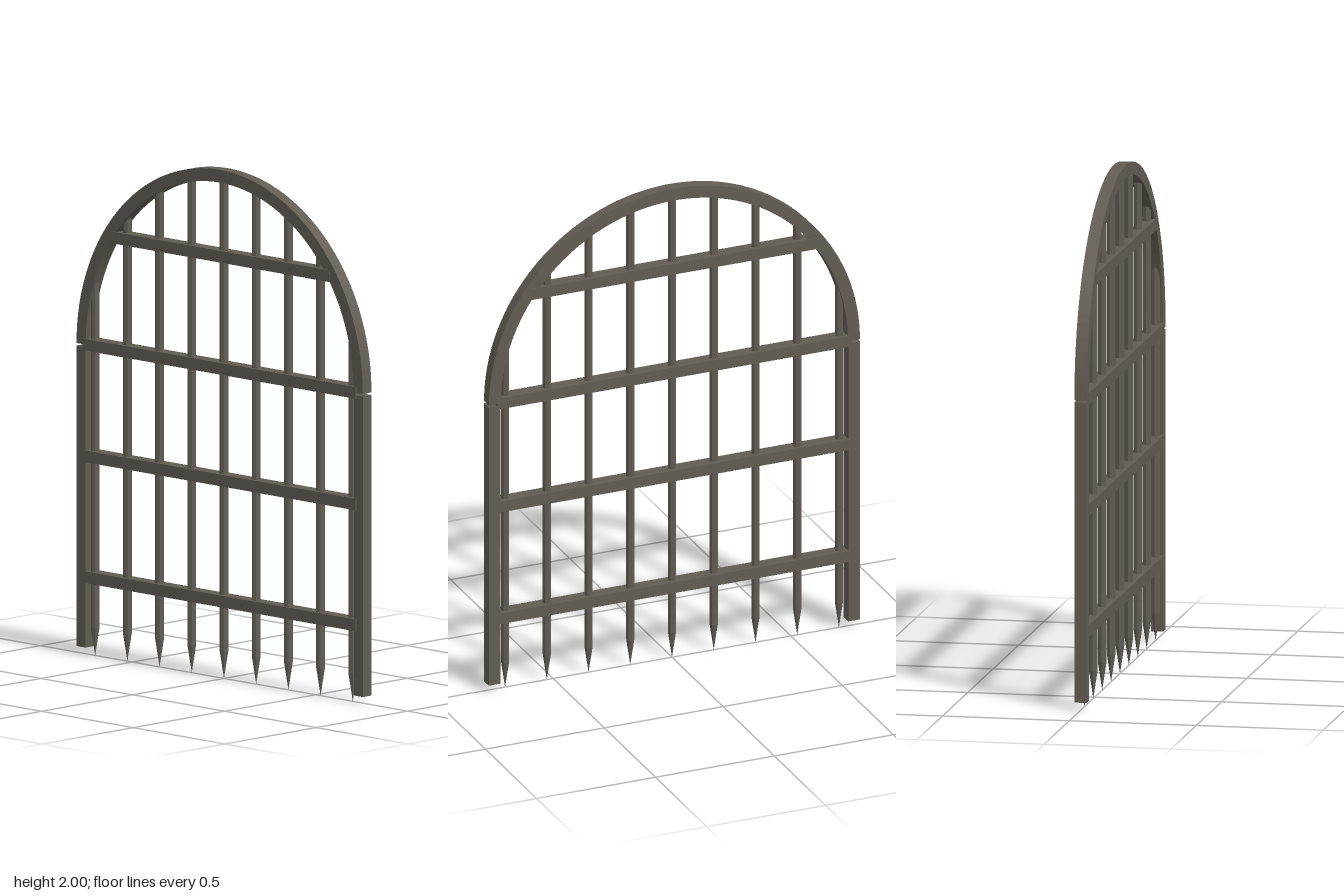
import * as THREE from 'three';

export function createModel() {
  const gate = new THREE.Group();
  gate.name = 'portcullis';
  const iron = new THREE.MeshStandardMaterial({ color: 0x625c53 });
  iron.name = 'weathered iron';
  const barIron = iron.clone();
  barIron.name = 'bar iron';
  barIron.flatShading = true;

  const add = (name, geometry, x, y, z = 0, material = iron) => {
    const mesh = new THREE.Mesh(geometry, material);
    mesh.name = name;
    mesh.position.set(x, y, z);
    gate.add(mesh);
    return mesh;
  };

  const springY = 1.22, outerR = 0.78, innerR = 0.73, depth = 0.048;

  // Half-round arch
  const ring = new THREE.Shape();
  ring.absarc(0, 0, outerR, 0, Math.PI, false);
  ring.absarc(0, 0, innerR, Math.PI, 0, true);
  ring.closePath();
  const arch = new THREE.ExtrudeGeometry(ring, { depth, bevelEnabled: false, curveSegments: 40 });
  add('arch', arch, 0, springY, -depth / 2);

  // Side posts, with a narrow gap below the arch
  for (const side of [-1, 1]) {
    add(side > 0 ? 'leftPost' : 'rightPost', new THREE.BoxGeometry(0.05, 1.18, depth), side * 0.756, 0.62);
  }

  // Horizontal rails
  for (const [y, half] of [[0.307, 0.745], [0.782, 0.745], [1.22, 0.745], [1.66, 0.6]]) {
    add('rail', new THREE.BoxGeometry(half * 2, 0.046, 0.055), 0, y);
  }

  // Vertical bars reaching into the arch, each with a pointed foot
  const barR = 0.017, spikeH = 0.11;
  for (let i = -4; i <= 4; i++) {
    const x = i * 0.1755;
    const top = springY + Math.sqrt(0.755 ** 2 - x * x);
    const length = top - spikeH;
    add('bar', new THREE.CylinderGeometry(barR, barR, length, 8), x, spikeH + length / 2, 0, barIron);
    const spike = new THREE.ConeGeometry(barR, spikeH, 8).rotateX(Math.PI);
    add('spike', spike, x, spikeH / 2, 0, barIron);
  }

  return gate;
}
